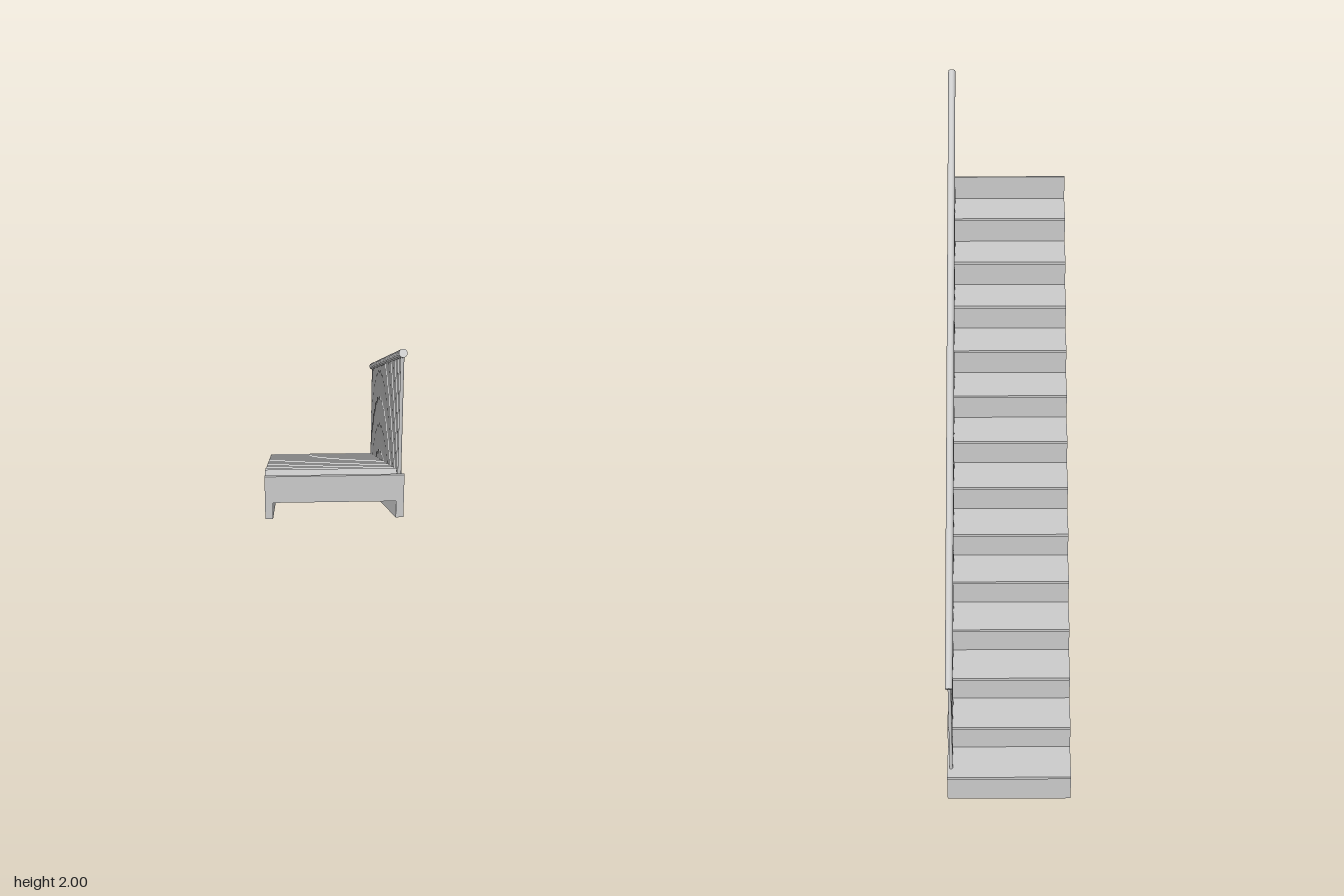
import * as THREE from 'three';

const STEPS = 13;
const RUN = 0.1443, RISE = 0.1083;
const NOSE_Z = -0.932, FIRST_TOP = 0.12;
const OVERHANG = 0.007, BOARD = 0.007, TREAD = 0.011;
const WIDTH = 0.45, STRINGER = 0.025;
const RAIL_X = 0.211;

const noseZ = (i) => NOSE_Z + i * RUN;
const riserZ = (i) => noseZ(i) + OVERHANG;
const topY = (i) => FIRST_TOP + i * RISE;

export function createModel() {
  const model = new THREE.Group();
  model.name = 'staircase';
  const grey = new THREE.MeshStandardMaterial({ color: 0xcccccc });
  grey.name = 'light grey';

  const add = (geometry, name, x = 0, y = 0, z = 0) => {
    const mesh = new THREE.Mesh(geometry, grey);
    mesh.name = name;
    mesh.position.set(x, y, z);
    model.add(mesh);
    return mesh;
  };
  // Box given by its z and y limits, centred on x
  const board = (name, z0, z1, y0, y1) =>
    add(new THREE.BoxGeometry(WIDTH, y1 - y0, z1 - z0), name, 0, (y0 + y1) / 2, (z0 + z1) / 2);

  // Treads with a small nosing, and risers closing the backs
  for (let i = 0; i < STEPS; i++) {
    board('tread', noseZ(i), riserZ(i + 1), topY(i) - TREAD, topY(i));
    board('riser', riserZ(i), riserZ(i) + BOARD, i ? topY(i - 1) - TREAD : 0, topY(i) - TREAD);
  }
  // Upright board above the last tread
  const endZ = riserZ(STEPS) + BOARD;
  board('topRiser', riserZ(STEPS), endZ, topY(STEPS - 1) - TREAD, 1.517);

  // Sawtooth stringers, drawn with shape x = -z and turned upright
  const outline = [[-0.82, 0], [riserZ(0) + 0.001, 0]];
  for (let i = 0; i < STEPS; i++) {
    const y = topY(i) - TREAD / 2;
    outline.push([riserZ(i) + 0.001, y]);
    outline.push([i < STEPS - 1 ? riserZ(i + 1) + 0.001 : endZ, y]);
  }
  outline.push([endZ, 1.34]);
  const profile = new THREE.Shape(outline.map(([z, y]) => new THREE.Vector2(-z, y)));
  const stringerGeometry = new THREE.ExtrudeGeometry(profile, { depth: STRINGER, bevelEnabled: false });
  stringerGeometry.rotateY(Math.PI / 2);
  add(stringerGeometry, 'leftStringer', WIDTH / 2 - STRINGER);
  add(stringerGeometry, 'rightStringer', -WIDTH / 2);

  // Sloping round handrail
  const low = new THREE.Vector3(RAIL_X, 0.577, -0.942);
  const high = new THREE.Vector3(RAIL_X, 1.987, 0.944);
  const direction = high.clone().sub(low);
  const rail = add(new THREE.CylinderGeometry(0.0135, 0.0135, direction.length(), 16), 'handrail');
  rail.position.copy(low).add(high).multiplyScalar(0.5);
  rail.quaternion.setFromUnitVectors(new THREE.Vector3(0, 1, 0), direction.clone().normalize());

  // Two balusters on each tread, reaching into the rail
  for (let i = 0; i < STEPS; i++) {
    for (const offset of [0.047, 0.117]) {
      const z = noseZ(i) + offset;
      const railY = low.y + (z - low.z) * (direction.y / direction.z);
      const height = railY - topY(i);
      add(new THREE.CylinderGeometry(0.006, 0.006, height, 10), 'baluster', RAIL_X, topY(i) + height / 2, z);
    }
  }
  return model;
}
